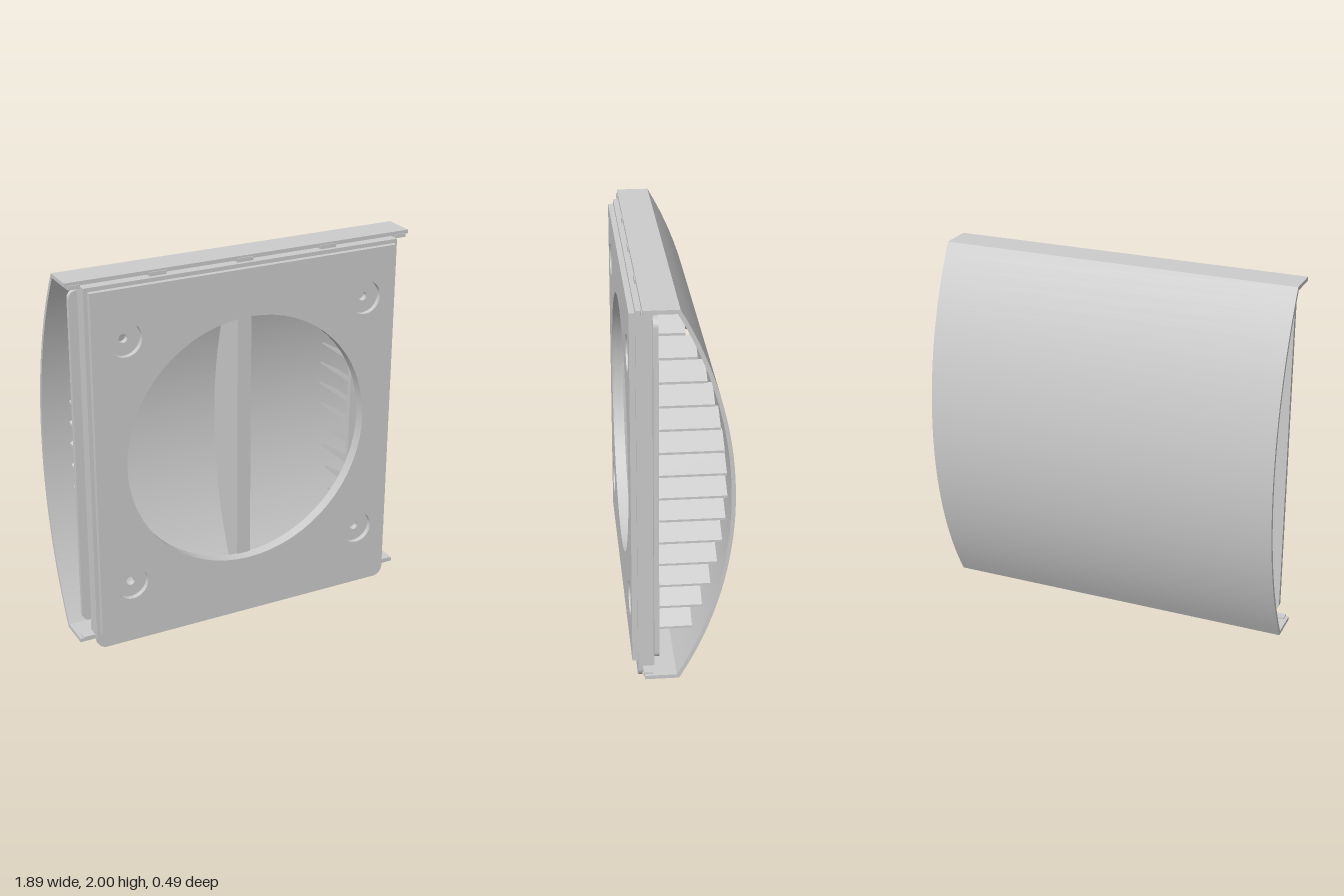
import * as THREE from 'three';
import { toCreasedNormals } from 'three/addons/utils/BufferGeometryUtils.js';

const MID = 1.025;

// depth of the bowed cover at height y, measured 'inset' inside its outer face
const coverZ = (y, inset = 0) =>
  1.681 - Math.sqrt((1.926 - inset) ** 2 - (y - MID) ** 2);

export function createModel() {
  const model = new THREE.Group();
  const material = new THREE.MeshStandardMaterial({ color: 0xcccccc, side: THREE.DoubleSide });

  function add(name, geometry, parent = model) {
    const mesh = new THREE.Mesh(geometry, material);
    mesh.name = name;
    parent.add(mesh);
    return mesh;
  }
  function box(name, x0, x1, y0, y1, z0, z1, parent) {
    const g = new THREE.BoxGeometry(x1 - x0, y1 - y0, z1 - z0);
    g.translate((x0 + x1) / 2, (y0 + y1) / 2, (z0 + z1) / 2);
    return add(name, g, parent);
  }
  // extrude an x-y shape from z0 to z1
  function plate(shape, z0, z1) {
    const g = new THREE.ExtrudeGeometry(shape, { depth: z1 - z0, bevelEnabled: false, curveSegments: 32 });
    g.translate(0, 0, z0);
    return toCreasedNormals(g, 0.5);
  }
  // extrude a [z, y] profile across x, centred
  function across(profile, width) {
    const shape = new THREE.Shape(profile.map(([z, y]) => new THREE.Vector2(-z, y)));
    const g = new THREE.ExtrudeGeometry(shape, { depth: width, bevelEnabled: false });
    g.translate(0, 0, -width / 2);
    g.rotateY(Math.PI / 2);
    return toCreasedNormals(g, 0.3);
  }
  // rectangle with separate bottom and top corner radii
  function rect(w, y0, y1, rb = 0, rt = rb, Type = THREE.Shape) {
    const s = new Type();
    s.moveTo(-w + rb, y0);
    s.lineTo(w - rb, y0);
    if (rb) s.absarc(w - rb, y0 + rb, rb, -Math.PI / 2, 0);
    s.lineTo(w, y1 - rt);
    if (rt) s.absarc(w - rt, y1 - rt, rt, 0, Math.PI / 2);
    s.lineTo(-w + rt, y1);
    if (rt) s.absarc(-w + rt, y1 - rt, rt, Math.PI / 2, Math.PI);
    s.lineTo(-w, y0 + rb);
    if (rb) s.absarc(-w + rb, y0 + rb, rb, Math.PI, Math.PI * 1.5);
    return s;
  }
  function cutCircle(shape, x, y, r) {
    shape.holes.push(new THREE.Path().absarc(x, y, r, 0, Math.PI * 2, true));
  }
  const arc = (y0, y1, inset, n = 32) => Array.from({ length: n + 1 }, (_, i) => {
    const y = y0 + (y1 - y0) * i / n;
    return [coverZ(y, inset), y];
  });

  // bowed cover with top and bottom return flanges
  add('curvedCover', across([
    [0.19, 2], ...arc(2, 0.05, 0), [0.19, 0.05],
    [0.19, 0.07], ...arc(0.07, 1.98, 0.02), [0.19, 1.98],
  ], 1.894));

  // front and backing plates with the round duct opening and screw recesses
  const front = rect(0.845, 0.095, 1.95);
  const backing = rect(0.865, 0.075, 1.97);
  for (const s of [front, backing]) cutCircle(s, 0, 1.02, 0.68);
  for (const x of [-0.67, 0.67]) {
    for (const y of [0.355, 1.69]) {
      cutCircle(front, x, y, 0.088);
      cutCircle(backing, x, y, 0.023);
    }
  }
  add('frontPlate', plate(front, 0.215, 0.245));
  add('backingPlate', plate(backing, 0.185, 0.217));

  // hollow skirt and rounded rear flange
  const skirt = rect(0.865, 0.075, 1.97);
  skirt.holes.push(rect(0.835, 0.105, 1.94, 0, 0, THREE.Path));
  add('skirt', plate(skirt, 0.135, 0.186));
  const flange = rect(0.91, 0.14, 1.94, 0.04);
  flange.holes.push(rect(0.665, 0.24, 1.8, 0, 0, THREE.Path));
  add('rearFlange', plate(flange, 0.115, 0.14));

  // hooked bottom lip
  add('bottomLip', plate(rect(0.865, 0, 0.12, 0.055, 0), 0.195, 0.217));
  box('bottomHook', -0.81, 0.81, 0, 0.022, 0.145, 0.2);

  // clips between frame and cover flanges
  for (const x of [-0.47, 0, 0.47]) box('topClip', x - 0.045, x + 0.045, 1.965, 1.99, 0.15, 0.195);
  for (const x of [-0.9, 0.9]) {
    box('cornerClip', x - 0.03, x + 0.03, 1.965, 1.985, 0.15, 0.195);
    box('cornerClip', x - 0.03, x + 0.03, 0.06, 0.078, 0.15, 0.195);
  }

  // upright bar across the opening, with its bowed rib
  box('centreBar', -0.038, 0.038, 0.24, 1.82, 0.1, 0.19);
  add('centreRib', across([[0.11, 0.24], ...arc(0.24, 1.82, 0.12), [0.11, 1.82]], 0.03));

  // outward-sloping slats on both sides, reaching back to the cover
  const louvres = new THREE.Group();
  louvres.name = 'louvres';
  model.add(louvres);
  for (let i = 0; i < 14; i++) {
    const y = 0.245 + i * 0.1211;
    const back = Math.max(coverZ(y, 0.02), coverZ(y + 0.07, 0.02));
    for (const side of [-1, 1]) {
      const slat = new THREE.Shape([
        new THREE.Vector2(side * 0.69, y + 0.065),
        new THREE.Vector2(side * 0.8, y),
        new THREE.Vector2(side * 0.8, y + 0.012),
        new THREE.Vector2(side * 0.69, y + 0.077),
      ]);
      add('slat', plate(slat, back, 0.118), louvres);
    }
  }
  return model;
}
